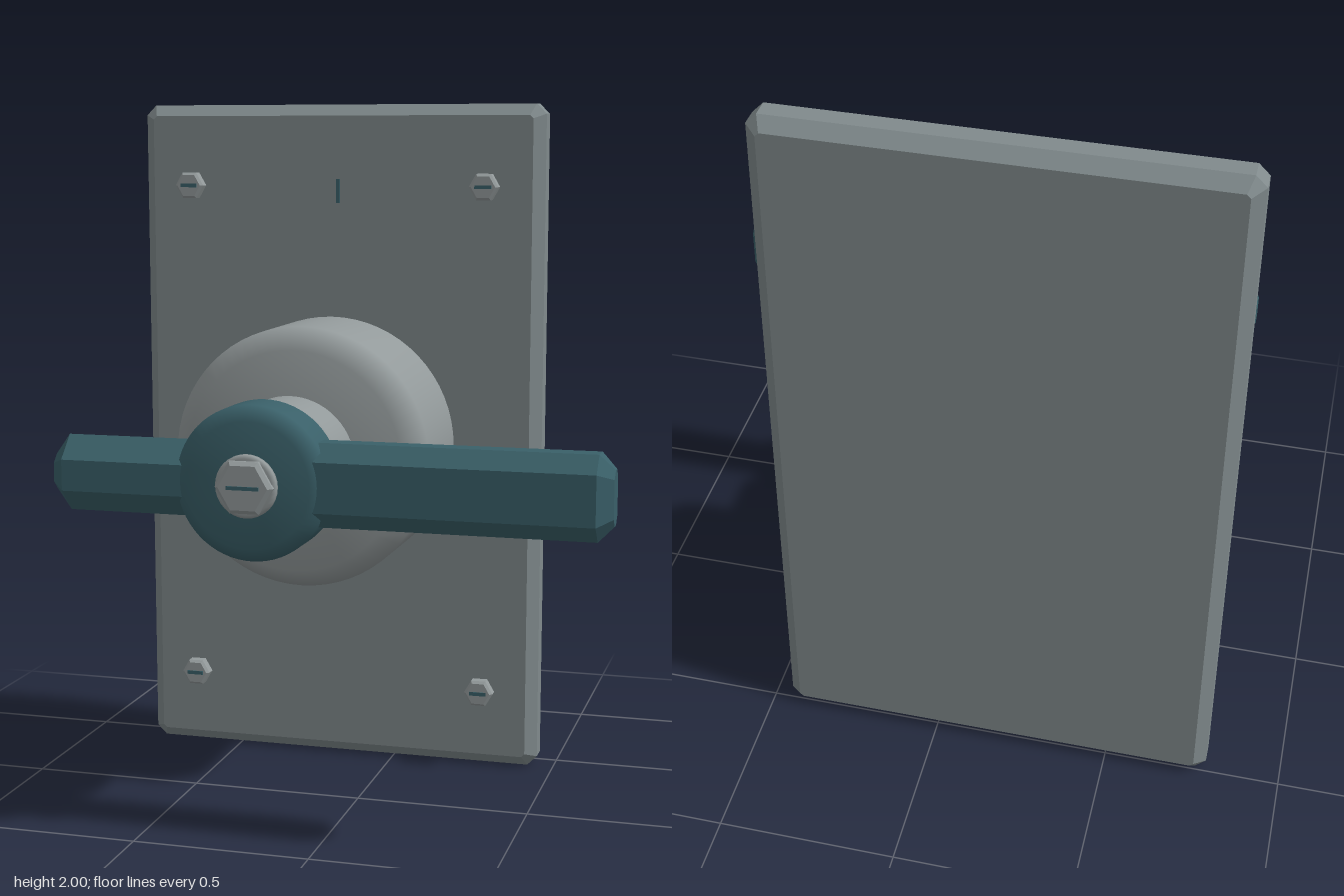
import * as THREE from 'three';

const AXIS_X = -0.17, AXIS_Y = 1;

function material(name, color) {
  const m = new THREE.MeshStandardMaterial({ color });
  m.name = name;
  return m;
}

// Solid of revolution about z; profile is [radius, z] from back to front
function turned(profile, sides = 64) {
  const pts = profile.map(([r, z]) => new THREE.Vector2(r, z));
  const hex = sides === 6;
  let geo = new THREE.LatheGeometry(pts, sides, hex ? Math.PI / 6 : 0);
  geo.rotateX(Math.PI / 2);
  if (hex) {
    geo = geo.toNonIndexed();
    geo.computeVertexNormals();
  }
  return geo;
}

// Box with cut corners and chamfered ends, centred, extruded along z
function chamferBox(w, h, d, cut, bevel) {
  const x = w / 2 - bevel, y = h / 2 - bevel;
  const shape = new THREE.Shape([
    [x - cut, -y], [x, -y + cut], [x, y - cut], [x - cut, y],
    [-x + cut, y], [-x, y - cut], [-x, -y + cut], [-x + cut, -y],
  ].map(([a, b]) => new THREE.Vector2(a, b)));
  const geo = new THREE.ExtrudeGeometry(shape, {
    depth: d - 2 * bevel, bevelEnabled: true, bevelSegments: 1,
    bevelSize: bevel, bevelThickness: bevel,
  });
  return geo.translate(0, 0, bevel - d / 2);
}

export function createModel() {
  const model = new THREE.Group();
  model.name = 'rotaryLeverSwitch';
  const plateGrey = material('plate grey', 0x808a8c);
  const metalGrey = material('metal grey', 0x939a9b);
  const teal = material('dark teal', 0x3a6069);

  function add(name, geo, mat, x, y, z, parent = model) {
    const mesh = new THREE.Mesh(geo, mat);
    mesh.name = name;
    mesh.position.set(x, y, z);
    parent.add(mesh);
    return mesh;
  }

  // Wall plate
  add('backPlate', chamferBox(1.24, 2, 0.12, 0.01, 0.033), plateGrey, -0.17, 1, -0.46);

  // Drum and neck on the switch axis
  add('drum', turned([
    [0, -0.375], [0.345, -0.375], [0.375, -0.325], [0.375, -0.005], [0.315, 0.077], [0, 0.077],
  ]), metalGrey, AXIS_X, AXIS_Y, 0);
  add('neck', turned([
    [0, 0.06], [0.165, 0.06], [0.19, 0.1], [0.19, 0.245], [0.14, 0.29], [0, 0.29],
  ]), metalGrey, AXIS_X, AXIS_Y, 0);

  // Lever: round hub with a long and a short arm
  const lever = new THREE.Group();
  lever.name = 'lever';
  model.add(lever);
  add('leverHub', turned([
    [0, 0.288], [0.18, 0.288], [0.21, 0.325], [0.21, 0.44], [0.17, 0.477], [0, 0.477],
  ]), teal, AXIS_X, AXIS_Y, 0, lever);
  const arms = [
    ['longArm', -0.08, 0.785, 0.226, 0.146, 0.389],
    ['shortArm', -0.747, -0.26, 0.176, 0.124, 0.391],
  ];
  for (const [name, x0, x1, height, depth, z] of arms) {
    const geo = chamferBox(depth, height, x1 - x0, 0.022, 0.04).rotateY(Math.PI / 2);
    add(name, geo, teal, (x0 + x1) / 2, AXIS_Y, z, lever);
  }

  // Slotted hex bolt on the hub
  add('boltCollar', turned([[0, 0.46], [0.085, 0.46], [0.085, 0.488], [0.075, 0.497], [0, 0.497]], 32),
    metalGrey, AXIS_X, AXIS_Y, 0);
  add('boltHead', turned([[0, 0.48], [0.08, 0.48], [0.08, 0.506], [0.068, 0.517], [0, 0.517]], 6),
    metalGrey, AXIS_X, AXIS_Y, 0);
  add('boltSlot', new THREE.BoxGeometry(0.09, 0.01, 0.004), teal, AXIS_X, AXIS_Y, 0.518);

  // Four slotted hex screws
  const screwGeo = turned([
    [0, -0.022], [0.038, -0.022], [0.044, -0.014], [0.044, 0.014], [0.036, 0.022], [0, 0.022],
  ], 6);
  const slotGeo = new THREE.BoxGeometry(0.05, 0.011, 0.004);
  for (const x of [-0.625, 0.282]) {
    for (const y of [0.24, 1.76]) {
      add('plateScrew', screwGeo, metalGrey, x, y, -0.362);
      add('screwSlot', slotGeo, teal, x, y, -0.339);
    }
  }

  // Position tick above the lever
  add('positionTick', new THREE.BoxGeometry(0.011, 0.072, 0.006), teal, AXIS_X, 1.745, -0.392);

  return model;
}
